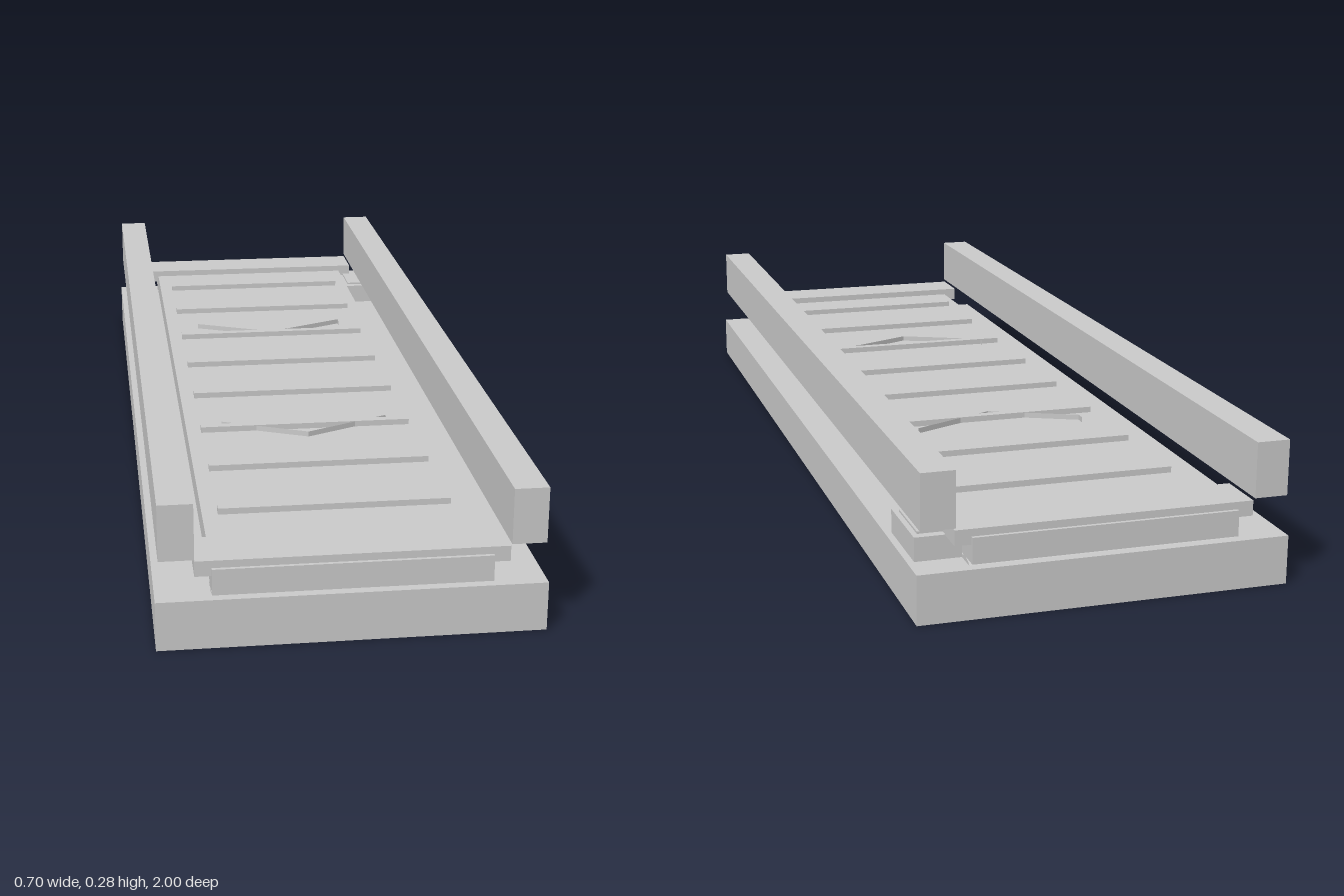
import * as THREE from 'three';

const grey = new THREE.MeshStandardMaterial({ color: 0xcccccc, flatShading: true });

export function createModel() {
  const model = new THREE.Group();

  const add = (name, geometry) => {
    const mesh = new THREE.Mesh(geometry, grey);
    mesh.name = name;
    model.add(mesh);
    return mesh;
  };
  // Box given by its lower and upper limits on each axis
  const box = (name, [x0, x1], [y0, y1], [z0, z1]) =>
    add(name, new THREE.BoxGeometry(x1 - x0, y1 - y0, z1 - z0))
      .position.set((x0 + x1) / 2, (y0 + y1) / 2, (z0 + z1) / 2);
  // Roller lying across the bed, its crown just above the base
  const roller = (name, radius, length, top, z) => {
    const geometry = new THREE.CylinderGeometry(radius, radius, length, 12);
    geometry.rotateZ(Math.PI / 2);
    add(name, geometry).position.set(0, top - radius, z);
  };

  // Base and belt bed
  box('base', [-0.35, 0.35], [0, 0.093], [-1, 1]);
  box('belt', [-0.25, 0.25], [0.102, 0.151], [-1, 1]);

  // Side rails and end plates
  for (const s of [-1, 1]) {
    const side = s > 0 ? 'left' : 'right';
    box(side + 'Rail', s > 0 ? [0.28, 0.343] : [-0.343, -0.28], [0.171, 0.276], [-1, 1]);
    const end = s > 0 ? 'front' : 'back';
    box(end + 'EndPlate', [-0.28, 0.28], [0.136, 0.165], s > 0 ? [0.892, 0.993] : [-0.993, -0.892]);
    roller(end + 'Drum', 0.045, 0.5, 0.103, s * 0.955);
  }

  // Small rollers under the belt
  for (let i = -3; i <= 3; i++) roller('roller', 0.03, 0.474, 0.1015, i * 0.2125 - 0.01);

  // Raised slats across the belt
  for (let i = 0; i < 8; i++) {
    const z = (i - 3.5) * 0.2155;
    box('slat', [-0.22, 0.22], [0.15, 0.163], [z - 0.009, z + 0.009]);
  }

  // Open-topped direction chevrons, pointing to the front
  const shape = new THREE.Shape([
    [-0.175, -0.05], [0, 0.03], [0.175, -0.05], [0.175, -0.03], [0, 0.05], [-0.175, -0.03],
  ].map(([x, z]) => new THREE.Vector2(x, z)));
  for (const z of [-0.35, 0.35]) {
    let geometry = new THREE.ExtrudeGeometry(shape, { depth: 0.013, bevelEnabled: false });
    geometry.rotateX(Math.PI / 2);
    geometry.scale(1, -1, 1); // turns the walls inward
    geometry.computeVertexNormals();
    add('chevron', geometry).position.set(0, 0.149, z);
  }

  // Drive motor beside the back end
  box('motor', [0.25, 0.337], [0.093, 0.138], [-0.937, -0.78]);
  box('motorCover', [0.262, 0.327], [0.138, 0.142], [-0.92, -0.797]);

  return model;
}
